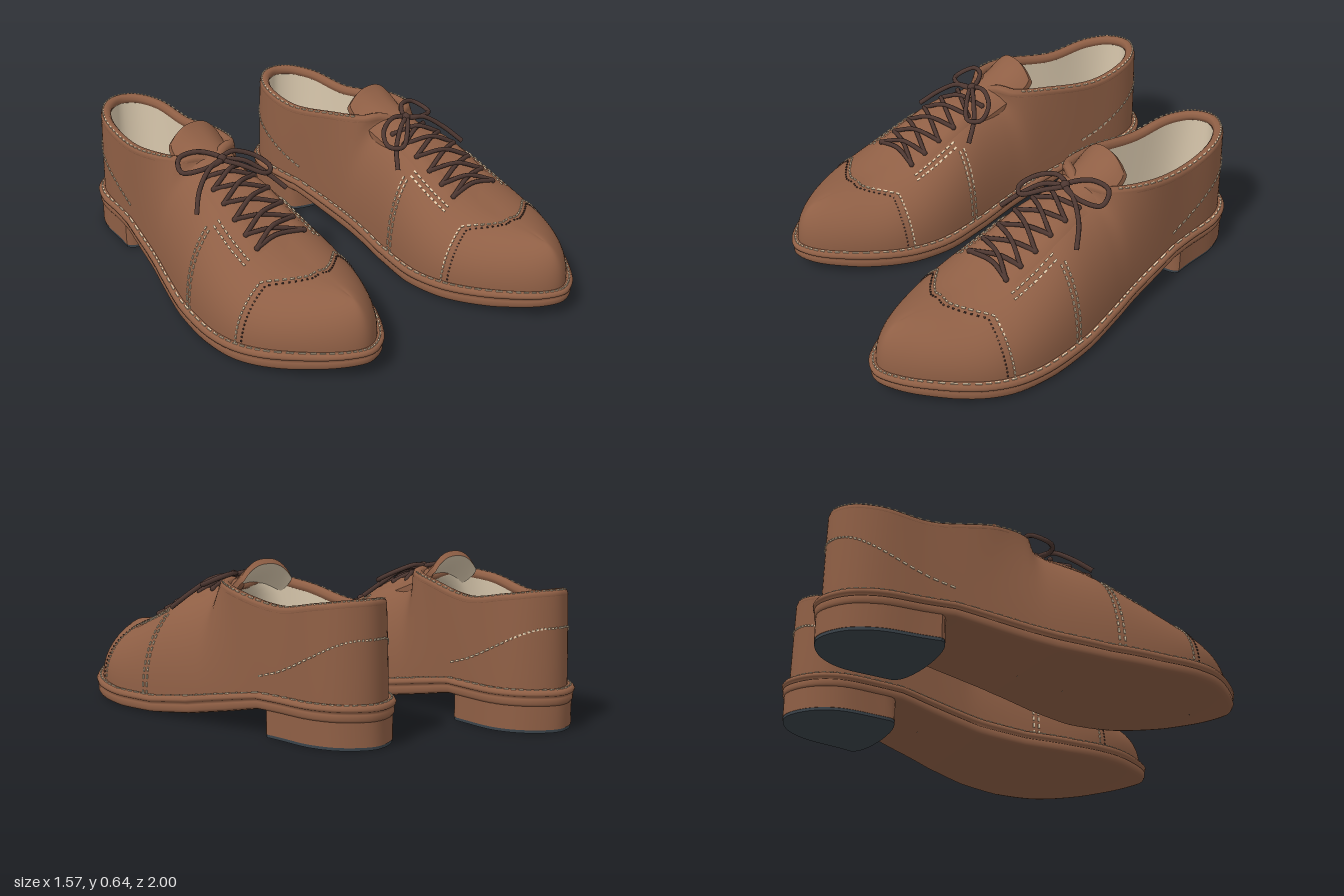
import * as THREE from 'three';
import { mergeGeometries, mergeVertices, toCreasedNormals } from 'three/addons/utils/BufferGeometryUtils.js';

const V = (x, y, z) => new THREE.Vector3(x, y, z);
const lerp = THREE.MathUtils.lerp;

// Stations from toe to heel: z, outer x, inner x of the welt; z, outer x, inner x, y of the upper's top edge; dome weight
const ROWS = [
  [0.995, 0.433, 0.433, 0.85, 0.43, 0.43, 0.288, 1],
  [0.962, 0.514, 0.350, 0.80, 0.43, 0.43, 0.297, 1],
  [0.865, 0.618, 0.263, 0.72, 0.43, 0.43, 0.304, 1],
  [0.71, 0.732, 0.172, 0.62, 0.43, 0.43, 0.312, 1],
  [0.57, 0.778, 0.129, 0.51, 0.43, 0.43, 0.345, 1],
  [0.40, 0.781, 0.121, 0.37, 0.43, 0.43, 0.41, 1],
  [0.20, 0.75, 0.155, 0.21, 0.42, 0.42, 0.49, 1],
  [0.00, 0.695, 0.187, 0.05, 0.415, 0.415, 0.535, 0.9],
  [-0.10, 0.667, 0.188, -0.03, 0.545, 0.28, 0.54, 0.6],
  [-0.24, 0.637, 0.183, -0.20, 0.598, 0.222, 0.517, 0.25],
  [-0.47, 0.589, 0.17, -0.46, 0.562, 0.203, 0.478, 0],
  [-0.66, 0.558, 0.18, -0.65, 0.527, 0.218, 0.503, 0],
  [-0.77, 0.49, 0.25, -0.75, 0.46, 0.28, 0.518, 0],
  [-0.825, 0.37, 0.37, -0.788, 0.37, 0.37, 0.522, 0],
];
const N = 26; // stations around the whole shoe
const ring = Array.from({ length: N }, (_, i) => ({ r: ROWS[i <= 13 ? i : N - i], side: i <= 13 ? 0 : 1 }));
const welt = new THREE.CatmullRomCurve3(ring.map(({ r, side }) => V(r[1 + side], 0, r[0])), true);
const edge = new THREE.CatmullRomCurve3(ring.map(({ r, side }) => V(r[4 + side], r[6], r[3])), true);
const at = (curve, u) => curve.getPoint((((u % N) + N) % N) / N);

// Piecewise linear tables
const table = pts => z => {
  let i = 0;
  while (i < pts.length - 2 && z > pts[i + 1][0]) i++;
  const [a, b] = [pts[i], pts[i + 1]];
  return lerp(a[1], b[1], THREE.MathUtils.clamp((z - a[0]) / (b[0] - a[0]), 0, 1));
};
const weltY = table([[-0.85, 0.165], [-0.37, 0.163], [-0.2, 0.135], [0, 0.1], [0.2, 0.075], [0.45, 0.07], [0.6, 0.08], [0.9, 0.108], [1, 0.12]]);
const soleY = table([[-0.85, 0.1], [-0.37, 0.1], [-0.2, 0.065], [0, 0.028], [0.2, 0.006], [0.4, 0], [0.6, 0.008], [0.8, 0.025], [0.9, 0.04], [1, 0.058]]);
const capU = table([[0, 3.8], [0.6, 3.65], [0.8, 2.85], [0.9, 2.5], [1, 2.38]]);
const midX = z => lerp(0.37, 0.433, (z + 0.825) / 1.82);

// Point on the welt outline moved inward
function inset(u, d) {
  const p = at(welt, u), t = at(welt, u + 0.02).sub(at(welt, u - 0.02)).normalize();
  return p.add(V(t.z * d, 0, -t.x * d));
}
// Leather surface: u runs around the shoe, v from welt to top edge
function skin(u, v) {
  const b = inset(u, 0.024).add(inset(u - 0.45, 0.024)).add(inset(u + 0.45, 0.024)).divideScalar(3);
  const t = at(edge, u), th = v * Math.PI / 2;
  b.y = weltY(b.z) - 0.01;
  const k = ((u % N) + N) % N, i = Math.floor(k);
  const w = lerp(ring[i].r[7], ring[(i + 1) % N].r[7], k - i);
  const side = lerp(Math.pow(v, 1.45), 1 - Math.pow(Math.max(0, Math.cos(th)), 0.92), w);
  const up = lerp(v, Math.pow(Math.sin(th), 0.9), w);
  return V(lerp(b.x, t.x, side), lerp(b.y, t.y, up), lerp(b.z, t.z, side));
}
function normal(u, v) {
  const a = Math.max(0, v - 0.03), c = Math.min(1, v + 0.03);
  return skin(u + 0.03, v).sub(skin(u - 0.03, v)).cross(skin(u, c).sub(skin(u, a))).normalize();
}
const surf = (u, v, off = 0) => skin(u, v).addScaledVector(normal(u, v), off);

// Smooth grid from a function of (0..1, 0..1)
function grid(nu, nv, fn, flip = false) {
  const pos = [], idx = [];
  for (let j = 0; j <= nv; j++) for (let i = 0; i <= nu; i++) pos.push(...fn(i / nu, j / nv).toArray());
  for (let j = 0; j < nv; j++) for (let i = 0; i < nu; i++) {
    const a = j * (nu + 1) + i, b = a + 1, c = a + nu + 1, d = c + 1;
    idx.push(...(flip ? [a, c, b, b, c, d] : [a, b, c, b, d, c]));
  }
  let g = new THREE.BufferGeometry();
  g.setAttribute('position', new THREE.Float32BufferAttribute(pos, 3));
  g.setIndex(idx);
  g = mergeVertices(g, 1e-3);
  g.computeVertexNormals();
  return g;
}
const tube = (pts, r, n = 24, closed = false) =>
  new THREE.TubeGeometry(new THREE.CatmullRomCurve3(pts, closed), n, r, 8, closed);

// Row of flat thread dashes; the path gives [point, surface normal]
function dashes(path, n, fill = 0.6, w = 0.007) {
  const out = [];
  for (let i = 0; i < n; i++) {
    const [a, up] = path(i / n), [b] = path((i + fill) / n);
    const g = new THREE.BoxGeometry(w, 0.004, a.distanceTo(b));
    g.applyMatrix4(new THREE.Matrix4().lookAt(a, b, up).setPosition(a.add(b).multiplyScalar(0.5)));
    out.push(g);
  }
  return mergeGeometries(out);
}

function mirrored(geo) {
  const g = geo.index ? geo.clone() : mergeVertices(geo);
  g.applyMatrix4(new THREE.Matrix4().makeScale(-1, 1, 1));
  const ix = g.index.array;
  for (let i = 0; i < ix.length; i += 3) [ix[i + 1], ix[i + 2]] = [ix[i + 2], ix[i + 1]];
  return g;
}

export function createModel() {
  const mat = (name, color) => Object.assign(new THREE.MeshStandardMaterial({ color }), { name });
  const leather = mat('brown leather', 0x8f5f45), lining = mat('cream lining', 0xdac9ae);
  const lace = mat('dark brown lace', 0x4d3731), thread = mat('pale thread', 0xe2ccac), rubber = mat('dark rubber', 0x3a434a);
  const left = new THREE.Group();
  left.name = 'leftShoe';
  const add = (name, geo, m) => {
    const mesh = new THREE.Mesh(geo, m);
    mesh.name = name;
    left.add(mesh);
  };

  // Upper, lining and insole
  add('upper', grid(156, 20, (s, v) => surf(s * N, v)), leather);
  add('lining', grid(104, 12, (s, v) => surf(s * N, v, -0.038), true), lining);
  add('insole', grid(104, 4, (s, v) => {
    const p = inset(s * N, 0.06);
    return V(lerp(p.x, midX(p.z), v), Math.max(weltY(p.z), 0.15 - 0.2 * Math.max(0, p.z)) + 0.03, p.z);
  }), lining);

  // Sole with rolled welt: inset, height fraction, pull to the midline
  const prof = [[0.03, 0, 1], [0.03, 0, 0.5], [0.03, 0, 0], [0.012, 0.06, 0], [0.006, 0.2, 0], [0.006, 0.5, 0],
    [0.014, 0.57, 0], [0.002, 0.66, 0], [0, 0.8, 0], [0.006, 0.95, 0], [0.02, 1.02, 0], [0.06, 1, 0]];
  add('sole', grid(130, prof.length - 1, (s, v) => {
    const [d, h, m] = prof[Math.round(v * (prof.length - 1))], p = inset(s * N, d);
    return V(lerp(p.x, midX(p.z), m), lerp(soleY(p.z), weltY(p.z), h), p.z);
  }), leather);

  // Heel block and its rubber tip, with a rounded front
  const heelLayer = (y, h, d) => {
    const pts = [];
    for (let i = 0; i <= 40; i++) {
      const p = inset(lerp(9.8, 16.2, i / 40), d);
      pts.push(new THREE.Vector2(p.x, -p.z));
    }
    const shape = new THREE.Shape(pts), a = pts[40], b = pts[0];
    shape.bezierCurveTo(a.x + 0.01, 0.348, b.x - 0.01, 0.348, b.x, b.y);
    const g = new THREE.ExtrudeGeometry(shape, { depth: h, bevelEnabled: false, curveSegments: 14 });
    return toCreasedNormals(g.rotateX(-Math.PI / 2).translate(0, y, 0), 0.6);
  };
  add('heel', heelLayer(0.012, 0.098, 0.012), leather);
  add('heelTip', heelLayer(0, 0.012, 0.014), rubber);

  // Padded collar, flush with the outside of the upper
  const rim = Array.from({ length: 48 }, (_, i) => surf(lerp(7, 19, i / 48), 1, -0.021));
  add('collar', tube(rim, 0.022, 120, true), leather);

  // Tongue, curling up behind the laces
  const spine = new THREE.CatmullRomCurve3([V(0.42, 0.5, 0.12), V(0.415, 0.545, -0.01), V(0.41, 0.575, -0.08), V(0.408, 0.605, -0.125), V(0.405, 0.628, -0.15)]);
  const tongue = new THREE.BoxGeometry(2, 1, 1, 16, 1, 14);
  const tp = tongue.attributes.position;
  for (let i = 0; i < tp.count; i++) {
    const s = tp.getX(i), t = 0.5 - tp.getZ(i), p = spine.getPoint(t), k = spine.getTangent(t);
    const half = 0.12 * (1 - 0.08 * Math.pow(t, 8)), off = tp.getY(i) * 0.026;
    const drop = Math.pow(Math.abs(s), 2.5) * 0.062;
    tp.setXYZ(i, p.x + s * half, p.y - drop - k.z * off, p.z + k.y * off);
  }
  tongue.computeVertexNormals();
  add('tongue', tongue, [leather, leather, leather, lining, leather, leather]);

  // Lace facings, eyelets and seams, on both flanks
  const flank = (side, u) => side ? N - u : u;
  const eyeU = i => 4.45 + i * 0.45;
  for (const side of [0, 1]) {
    const path = (fu, fv) => t => {
      const u = flank(side, fu(t)), v = fv(t);
      return [surf(u, v, 0.0025), normal(u, v)];
    };
    add('facing', grid(30, 4, (s, v) => surf(flank(side, lerp(4.3, 6.85, s)), lerp(0.7, 0.88, v), 0.007 * Math.min(1, 8 * Math.min(v, 1 - v, s, 1 - s) + 0.1)), side === 1), leather);
    const holes = [];
    for (let i = 0; i < 6; i++) {
      const p = surf(flank(side, eyeU(i)), 0.78, 0.008);
      holes.push(new THREE.SphereGeometry(0.012, 8, 6).translate(p.x, p.y, p.z));
    }
    add('eyelets', mergeGeometries(holes), lace);
    add('toeCapStitch', dashes(path(t => capU(t) + 0.1, t => t), 22), thread);
    add('toeCapHoles', dashes(path(t => capU(t) - 0.1, t => t), 26, 0.35, 0.006), lace);
    for (const d of [0, 0.11]) {
      add('quarterStitch', dashes(path(() => 5.68 + d, t => t * 0.58), 13), thread);
      add('facingStitch', dashes(path(t => lerp(4.4, 5.7, t), () => 0.67 - d * 0.5), 9), thread);
    }
    add('counterStitch', dashes(path(t => lerp(9.6, 13, t), t => 0.2 + 0.46 * Math.sin(Math.min(1, t * 1.15) * Math.PI / 2)), 24), thread);
    add('collarStitch', dashes(t => [surf(flank(side, lerp(8.3, 13, t)), 1, -0.009).add(V(0, 0.0185, 0)), V(0, 1, 0)], 30, 0.55, 0.006), thread);
  }
  add('weltStitch', dashes(t => {
    const p = inset(t * N, 0.016);
    return [p.setY(weltY(p.z) + 0.002), V(0.01, 1, 0.01)];
  }, 110, 0.6, 0.006), thread);

  // Crossed lacing
  const laces = [];
  const strand = (a, b, lift) => {
    const p = surf(a, 0.78, 0.011), q = surf(N - b, 0.78, 0.011);
    const m = surf((a + b) / 2, 0.97, lift);
    laces.push(tube([p, m, q], 0.0095, 14));
  };
  strand(eyeU(0), eyeU(0), 0.01);
  for (let i = 0; i < 5; i++) {
    strand(eyeU(i), eyeU(i + 1), 0.02);
    strand(eyeU(i + 1), eyeU(i), 0.01);
  }
  add('lacing', mergeGeometries(laces), lace);

  // Bow: two loops, two loose ends and a knot
  const knot = V(0.42, 0.555, 0.075);
  const bow = [
    tube([knot, V(0.475, 0.572, -0.01), V(0.555, 0.56, -0.03), V(0.588, 0.53, 0.035), V(0.51, 0.545, 0.09)], 0.01, 40, true),
    tube([knot, V(0.36, 0.565, 0.06), V(0.275, 0.535, 0.095), V(0.245, 0.5, 0.16), V(0.29, 0.495, 0.195), V(0.37, 0.535, 0.14)], 0.01, 40, true),
    tube([knot, V(0.35, 0.545, 0.12), V(0.28, 0.49, 0.17), V(0.225, 0.425, 0.24)], 0.01),
    tube([knot, V(0.5, 0.545, 0.1), V(0.58, 0.49, 0.14), V(0.64, 0.425, 0.2)], 0.01),
    new THREE.SphereGeometry(0.02, 12, 8).translate(knot.x, knot.y, knot.z),
  ];
  add('bow', mergeGeometries(bow), lace);

  // Mirrored right shoe, standing a little further back
  const right = new THREE.Group();
  right.name = 'rightShoe';
  for (const m of left.children) {
    const mesh = new THREE.Mesh(mirrored(m.geometry), m.material);
    mesh.name = m.name;
    right.add(mesh);
  }
  right.position.z = -0.175;
  const model = new THREE.Group();
  model.name = 'pairOfShoes';
  model.add(left, right);
  return model;
}
